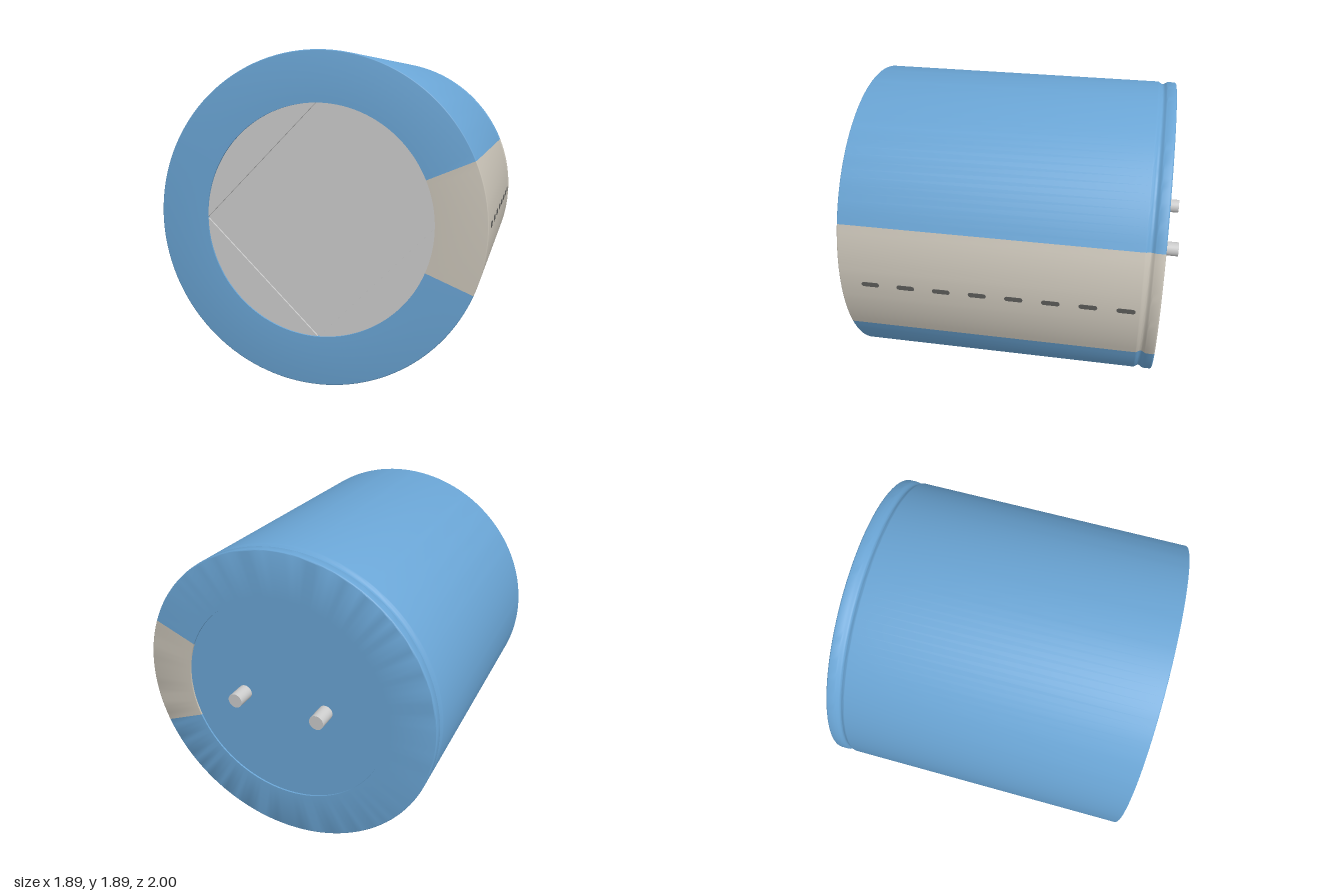
import * as THREE from 'three';
import { toCreasedNormals } from 'three/addons/utils/BufferGeometryUtils.js';

const R = 0.945;       // outer radius, also height of the axis
const RIM = 0.66;      // radius of the openings in the sleeve ends
const BACK = -0.89, FRONT = 1;

const paint = (color, side = THREE.FrontSide) =>
  new THREE.MeshStandardMaterial({ color, side });
const blue = paint(0x6aa5d5, THREE.DoubleSide);
const beige = paint(0xc9c3b7, THREE.DoubleSide);
const metal = paint(0xd6d6d2);
const dark = paint(0x5a5a58);

// Sleeve section (radius, z): lip, rounded corner, crimp groove, long wall, corner, lip
function sleeveProfile() {
  const p = [[RIM, BACK + 0.02], [RIM, BACK]];
  const c = 0.01;
  for (let i = 0; i <= 4; i++) {
    const a = (i / 4) * Math.PI / 2;
    p.push([R - c + c * Math.sin(a), BACK + c - c * Math.cos(a)]);
  }
  for (let i = 0; i <= 10; i++) {
    const t = i / 10;
    p.push([R - 0.008 * (1 - Math.cos(t * Math.PI * 2)), -0.84 + t * 0.065]);
  }
  for (let i = 0; i <= 3; i++) {
    const a = (i / 3) * Math.PI / 2;
    p.push([R - 0.006 + 0.006 * Math.cos(a), FRONT - 0.006 + 0.006 * Math.sin(a)]);
  }
  p.push([RIM, FRONT], [RIM, FRONT - 0.025]);
  return p.map(([r, z]) => new THREE.Vector2(r, z));
}

// Part of the sleeve, swept around the z axis
function sleeveSector(segments, start, sweep) {
  const g = new THREE.LatheGeometry(sleeveProfile(), segments, start, sweep);
  g.rotateX(Math.PI / 2);
  return toCreasedNormals(g, 0.7);
}

function capsuleShape(length, height) {
  const r = height / 2, h = length / 2 - r;
  const s = new THREE.Shape();
  s.moveTo(-h, -r);
  s.lineTo(h, -r);
  s.absarc(h, 0, r, -Math.PI / 2, Math.PI / 2, false);
  s.lineTo(-h, r);
  s.absarc(-h, 0, r, Math.PI / 2, Math.PI * 1.5, false);
  return s;
}

export function createModel() {
  const model = new THREE.Group();
  model.name = 'capacitor';
  const add = (name, geometry, material, x = 0, y = R, z = 0) => {
    const m = new THREE.Mesh(geometry, material);
    m.name = name;
    m.position.set(x, y, z);
    model.add(m);
    return m;
  };

  // Sleeve and the polarity stripe that completes its circle
  add('sleeve', sleeveSector(112, Math.PI * 5 / 8, Math.PI * 7 / 4), blue);
  add('polarityStripe', sleeveSector(16, Math.PI * 3 / 8, Math.PI / 4), beige);

  // Row of minus marks along the stripe
  const mark = new THREE.ExtrudeGeometry(capsuleShape(0.107, 0.03),
    { depth: 0.006, bevelEnabled: false, curveSegments: 8 });
  mark.rotateY(Math.PI / 2);
  for (let i = 0; i < 8; i++) add('minusMark', mark, dark, R - 0.004, R, 0.812 - i * 0.216);

  // Front can end: four plates over a floor leave a scored cross
  add('scoreFloor', new THREE.CircleGeometry(RIM, 96), metal, 0, R, 0.978);
  const gap = 0.004;
  const a = Math.asin(gap / RIM);
  const quarter = new THREE.Shape();
  quarter.moveTo(gap, gap);
  quarter.absarc(0, 0, RIM, a, Math.PI / 2 - a, false);
  quarter.closePath();
  const plate = new THREE.ExtrudeGeometry(quarter,
    { depth: 0.012, bevelEnabled: false, curveSegments: 32 });
  for (let i = 0; i < 4; i++) {
    add('ventPlate', plate, metal, 0, R, 0.978).rotation.z = i * Math.PI / 2;
  }

  // Back seal, slightly sunk inside the sleeve lip
  const seal = new THREE.CircleGeometry(RIM, 96);
  seal.rotateY(Math.PI);
  add('seal', seal, blue, 0, R, BACK + 0.01);

  // Two leads, one a touch shorter
  for (const [x, end] of [[-0.27, -1], [0.27, -0.995]]) {
    const length = BACK + 0.02 - end;
    const lead = new THREE.CylinderGeometry(0.045, 0.045, length, 32);
    lead.rotateX(Math.PI / 2);
    add('lead', lead, metal, x, R, end + length / 2);
  }
  return model;
}
